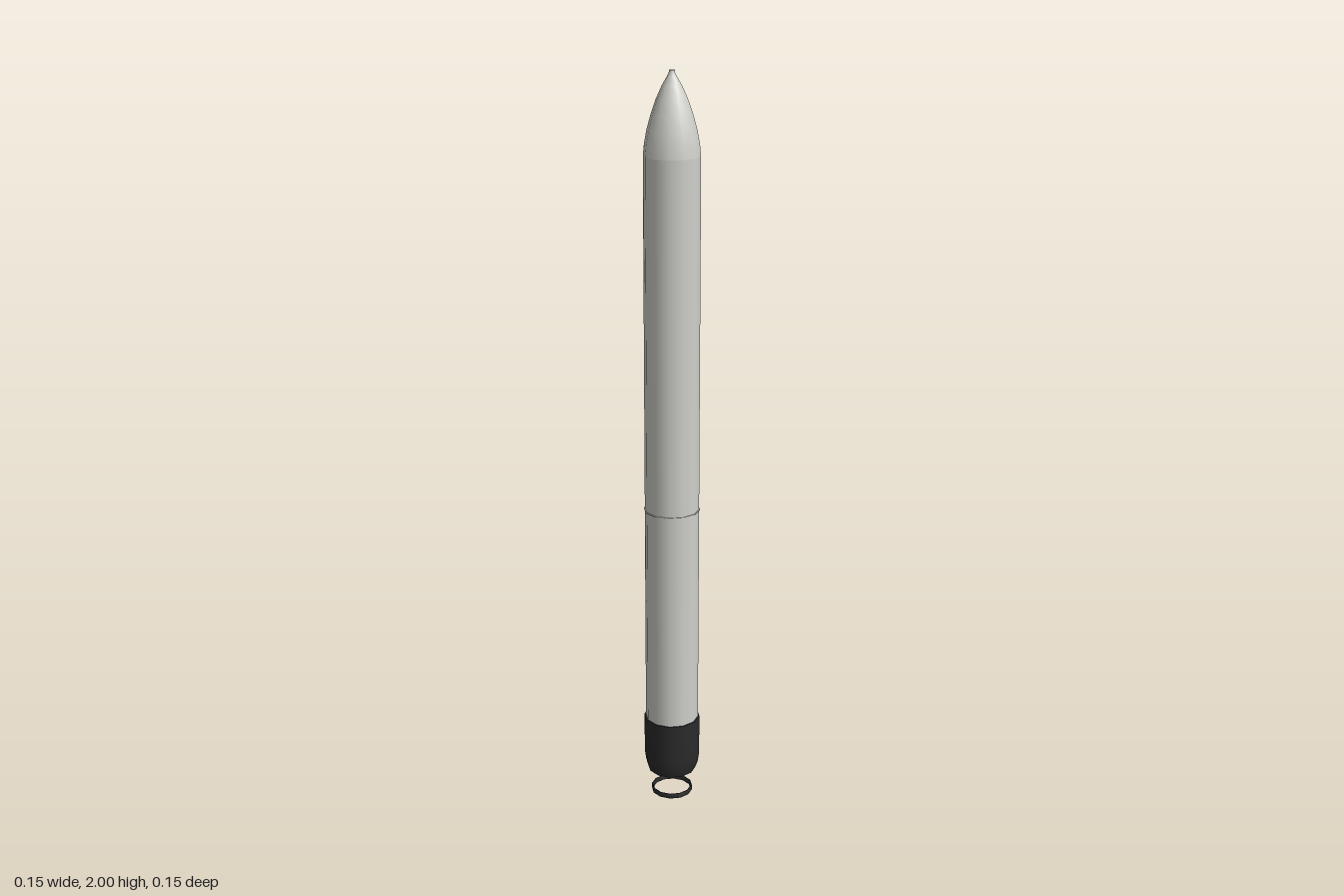
import * as THREE from 'three';

const SIDES = 12;

export function createModel() {
  const rocket = new THREE.Group();
  rocket.name = 'rocket';

  const mat = (name, color, side = THREE.FrontSide) => {
    const m = new THREE.MeshStandardMaterial({ color, side });
    m.name = name;
    return m;
  };
  const hull = mat('hull light grey', 0xd0d0cb);
  const black = mat('matte black', 0x2b2b2b, THREE.DoubleSide);
  const metal = mat('engine grey', 0x5c5c62);

  // Turned part from [radius, height] pairs, listed from bottom to top
  const turn = (name, profile, material, sides = SIDES) => {
    const points = profile.map(([r, y]) => new THREE.Vector2(r, y));
    const mesh = new THREE.Mesh(new THREE.LatheGeometry(points, sides), material);
    mesh.name = name;
    rocket.add(mesh);
    return mesh;
  };

  // Lower stage, ending in a small overhanging lip at the stage joint
  turn('lowerStage', [[0.073, 0.22], [0.073, 0.85], [0.0755, 0.85]], hull);
  turn('stageJoint', [[0.0755, 0.85], [0.0755, 0.853]], hull);
  turn('jointTop', [[0.0755, 0.853], [0.07, 0.853]], hull);

  // Upper stage
  turn('upperStage', [[0.073, 0.85], [0.073, 1.79]], hull);

  // Ogive nose with a small blunt tip
  turn('noseCone', [
    [0.073, 1.79], [0.07, 1.82], [0.0635, 1.855], [0.053, 1.893],
    [0.04, 1.93], [0.025, 1.963], [0.012, 1.985], [0.008, 1.993], [0.007, 2],
  ], hull);
  turn('noseTip', [[0.007, 2], [0, 2]], hull);

  // Engine skirt, open underneath
  turn('engineSkirt', [[0.066, 0.072], [0.073, 0.092], [0.077, 0.12], [0.077, 0.235]], black);
  turn('skirtTop', [[0.077, 0.235], [0.07, 0.235]], black);
  turn('skirtBulkhead', [[0, 0.16], [0.076, 0.16]], black);

  // Engine hanging inside the skirt
  const engine = new THREE.Mesh(new THREE.CylinderGeometry(0.047, 0.042, 0.1, 8), metal);
  engine.name = 'engine';
  engine.position.y = 0.11;
  rocket.add(engine);

  // Thin nozzle ring below the engine
  turn('nozzleRing', [[0.053, 0], [0.057, 0], [0.057, 0.013], [0.053, 0.013], [0.053, 0]], black);

  return rocket;
}
